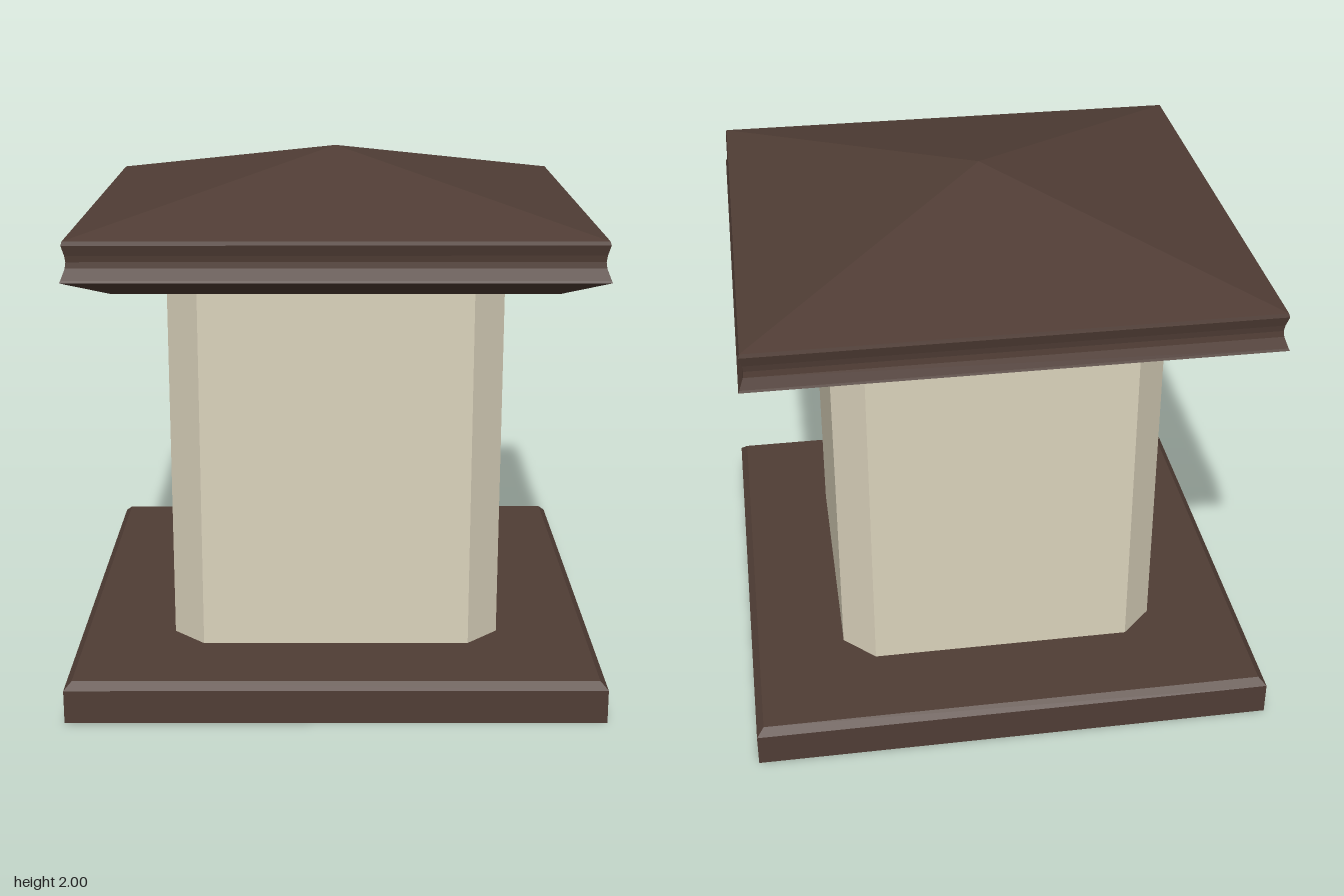
import * as THREE from 'three';

// Square solid with flat faces from a profile of [half width, height], listed bottom to top
function squareSolid(profile) {
  const points = profile.map(([r, y]) => new THREE.Vector2(r * Math.SQRT2, y));
  const geometry = new THREE.LatheGeometry(points, 4, Math.PI / 4).toNonIndexed();
  geometry.computeVertexNormals();
  return geometry;
}

// Upright square prism with chamfered corners
function chamferedPrism(half, flat, bottom, top) {
  const outline = [
    [flat, -half], [half, -flat], [half, flat], [flat, half],
    [-flat, half], [-half, flat], [-half, -flat], [-flat, -half],
  ].map(([x, y]) => new THREE.Vector2(x, y));
  return new THREE.ExtrudeGeometry(new THREE.Shape(outline), { depth: top - bottom, bevelEnabled: false })
    .rotateX(-Math.PI / 2)
    .translate(0, bottom, 0);
}

export function createModel() {
  const brown = new THREE.MeshStandardMaterial({ color: 0x503d35 });
  brown.name = 'dark brown';
  const cream = new THREE.MeshStandardMaterial({ color: 0xdbd3bc });
  cream.name = 'cream';

  const model = new THREE.Group();
  model.name = 'pillar';
  const add = (name, geometry, material) => {
    const mesh = new THREE.Mesh(geometry, material);
    mesh.name = name;
    model.add(mesh);
  };

  // Plinth with a bevelled top edge
  add('base', squareSolid([[0, 0], [1, 0], [1, 0.128], [0.972, 0.155], [0, 0.155]]), brown);

  // Square shaft with cut corners
  add('shaft', chamferedPrism(0.63, 0.51, 0.15, 1.575), cream);

  // Cap: sloping soffit, coved rim and pyramid roof
  add('cap', squareSolid([
    [0, 1.565], [0.71, 1.565], [0.8, 1.571], [0.957, 1.642], [0.953, 1.65],
    [0.938, 1.69], [0.935, 1.712], [0.938, 1.735], [0.948, 1.772], [0.944, 1.786], [0, 2],
  ]), brown);

  return model;
}
